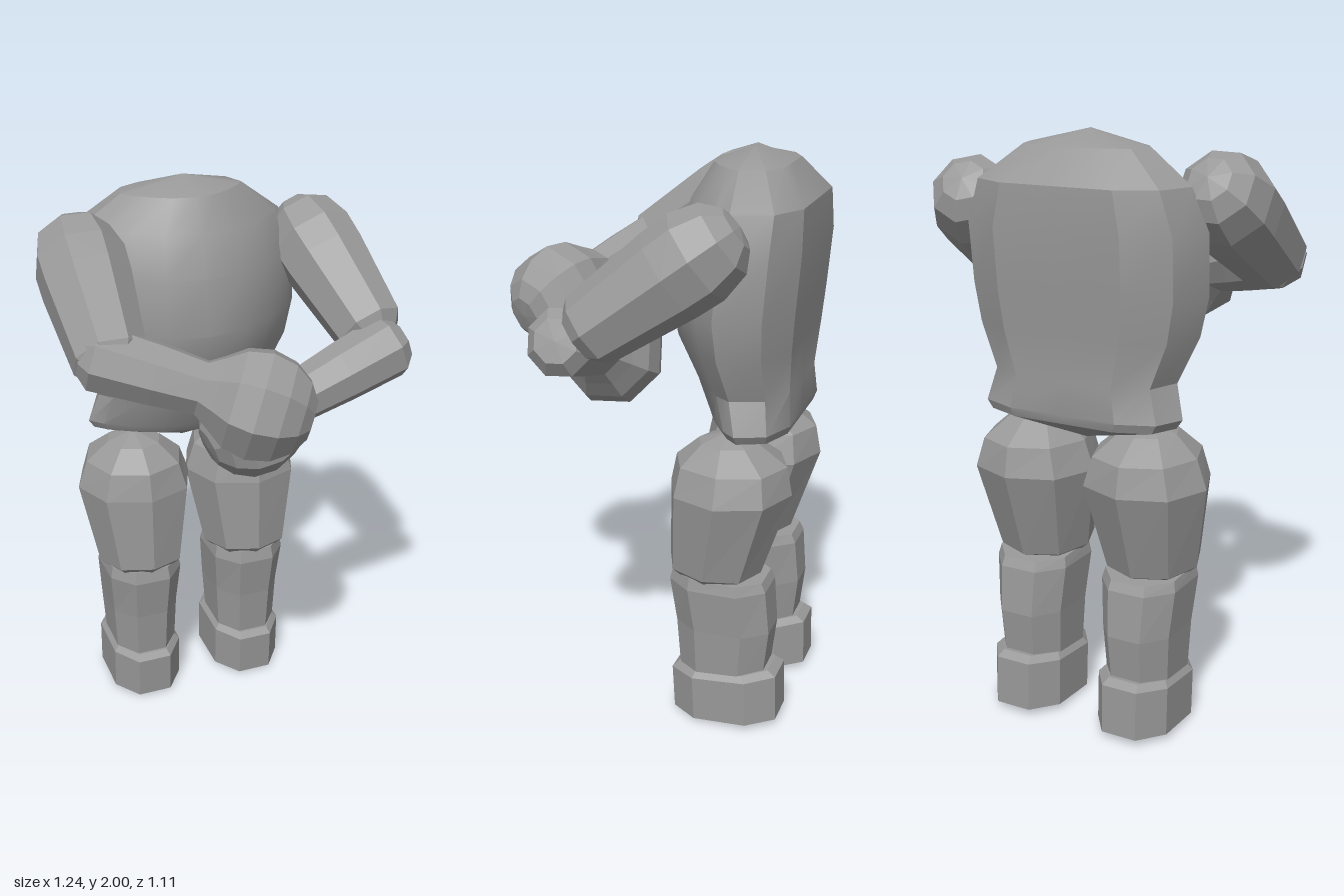
import * as THREE from 'three';
import { toCreasedNormals } from 'three/addons/utils/BufferGeometryUtils.js';

const grey = new THREE.MeshStandardMaterial({ color: 0x999999 });
grey.name = 'stone grey';

const CENTRE_X = -0.04; // body midline

function part(name, geometry, crease = 0.01) {
  const mesh = new THREE.Mesh(toCreasedNormals(geometry, crease), grey);
  mesh.name = name;
  return mesh;
}

// Joins cross-sections from bottom to top and closes both ends with a point.
// ring: [y, half width, back z, front z, rise towards the back]
function loft(section, rings, bottomY, topY) {
  const pos = [], index = [], n = section.length;
  for (const [y, w, back, front, tilt = 0] of rings) {
    const mid = (back + front) / 2;
    for (const [sx, sz] of section) {
      const z = mid + sz * (front - back) / 2;
      pos.push(sx * w, y - tilt * (z - mid), z);
    }
  }
  for (let k = 0; k < rings.length - 1; k++) {
    for (let i = 0; i < n; i++) {
      const a = k * n + i, b = k * n + (i + 1) % n;
      index.push(a, b, b + n, a, b + n, a + n);
    }
  }
  const first = rings[0], last = rings[rings.length - 1];
  const bottom = pos.length / 3, top = bottom + 1, start = (rings.length - 1) * n;
  pos.push(0, bottomY, (first[2] + first[3]) / 2);
  pos.push(0, topY, (last[2] + last[3]) / 2);
  for (let i = 0; i < n; i++) {
    const j = (i + 1) % n;
    index.push(bottom, j, i, top, start + i, start + j);
  }
  const geo = new THREE.BufferGeometry();
  geo.setAttribute('position', new THREE.Float32BufferAttribute(pos, 3));
  geo.setIndex(index);
  return geo;
}

// Completes a section by mirroring its right half, listed front to back.
function mirrored(half) {
  const other = half.slice(1, -1).reverse().map(([x, z]) => [-x, z]);
  return [...half, ...other];
}

// Eight-sided limb along a line; profile: [radius, distance from start]
function limb(name, from, to, profile) {
  const a = new THREE.Vector3(...from), b = new THREE.Vector3(...to);
  const geo = new THREE.LatheGeometry(profile.map(p => new THREE.Vector2(...p)), 8, Math.PI / 8);
  const mesh = part(name, geo);
  mesh.position.copy(a);
  mesh.quaternion.setFromUnitVectors(new THREE.Vector3(0, 1, 0), b.sub(a).normalize());
  return mesh;
}

function makeTorso() {
  const section = mirrored([[0, 1], [0.34, 0.88], [0.62, 0.6], [0.88, 0.22],
    [1, -0.08], [0.88, -0.7], [0.54, -1], [0, -1]]);
  const rings = [
    [1.08, 0.34, -0.52, -0.23], [1.11, 0.36, -0.53, -0.21], [1.22, 0.325, -0.52, -0.16],
    [1.37, 0.39, -0.53, -0.09], [1.5, 0.415, -0.54, -0.06], [1.7, 0.42, -0.555, -0.08],
    [1.84, 0.37, -0.55, -0.13], [1.95, 0.22, -0.46, -0.2],
  ];
  const torso = part('torso', loft(section, rings, 1.0, 2.0), 0.45);
  torso.position.x = CENTRE_X;
  return torso;
}

function makeLeg(side) {
  const leg = new THREE.Group();
  leg.name = side > 0 ? 'leftLeg' : 'rightLeg';
  const pointed = mirrored([[0, 1], [0.72, 0.72], [1, 0], [0.72, -0.72], [0, -1]]);
  const flat = mirrored([[0, 1], [0.48, 1], [1, 0.5], [1, -0.5], [0.48, -1], [0, -1]]);
  leg.add(part('thigh', loft(pointed, [
    [0.55, 0.13, -0.41, -0.15, -0.05], [0.575, 0.16, -0.45, -0.12, -0.07],
    [0.87, 0.215, -0.55, -0.12], [0.97, 0.18, -0.53, -0.14], [1.04, 0.1, -0.43, -0.22],
  ], 0.55, 1.075)));
  leg.add(part('shin', loft(flat, [
    [0.17, 0.115, -0.48, -0.18], [0.36, 0.125, -0.5, -0.165],
    [0.52, 0.138, -0.485, -0.14], [0.56, 0.13, -0.47, -0.15, -0.05],
  ], 0.17, 0.56)));
  leg.add(part('foot', loft(flat, [
    [0.015, 0.132, -0.535, -0.16, 0.05], [0.18, 0.132, -0.53, -0.15, 0.08],
    [0.2, 0.115, -0.5, -0.17, 0.08],
  ], 0.0, 0.2)));
  leg.position.x = CENTRE_X + side * 0.21;
  return leg;
}

function makeArm(name, shoulder, elbow, forearmStart, hand) {
  const arm = new THREE.Group();
  arm.name = name;
  // Rounded shoulder tapering to the elbow
  arm.add(limb('upperArm', shoulder, elbow, [
    [0, -0.145], [0.075, -0.13], [0.13, -0.08], [0.158, 0.02], [0.155, 0.12],
    [0.125, 0.43], [0.09, 0.47], [0, 0.48],
  ]));
  // Forearm narrowing at the wrist, then a round fist
  const reach = new THREE.Vector3(...forearmStart).distanceTo(new THREE.Vector3(...hand));
  const fist = [-0.14, -0.08, 0, 0.08, 0.14, 0.175].map(d =>
    [Math.sqrt(0.188 * 0.188 - d * d), reach + d]);
  arm.add(limb('forearmAndFist', forearmStart, hand, [
    [0, -0.05], [0.075, -0.045], [0.115, 0], [0.105, 0.2], [0.092, reach - 0.19],
    ...fist, [0, reach + 0.18],
  ]));
  return arm;
}

export function createModel() {
  const model = new THREE.Group();
  model.name = 'figure';
  model.add(makeTorso(), makeLeg(1), makeLeg(-1));
  model.add(makeArm('rightArm', [-0.45, 1.79, -0.21], [-0.46, 1.55, 0.16],
    [-0.5, 1.57, 0.13], [-0.04, 1.43, 0.37]));
  model.add(makeArm('leftArm', [0.43, 1.74, -0.3], [0.52, 1.47, 0.06],
    [0.55, 1.45, 0.12], [0.03, 1.26, 0.15]));
  return model;
}
